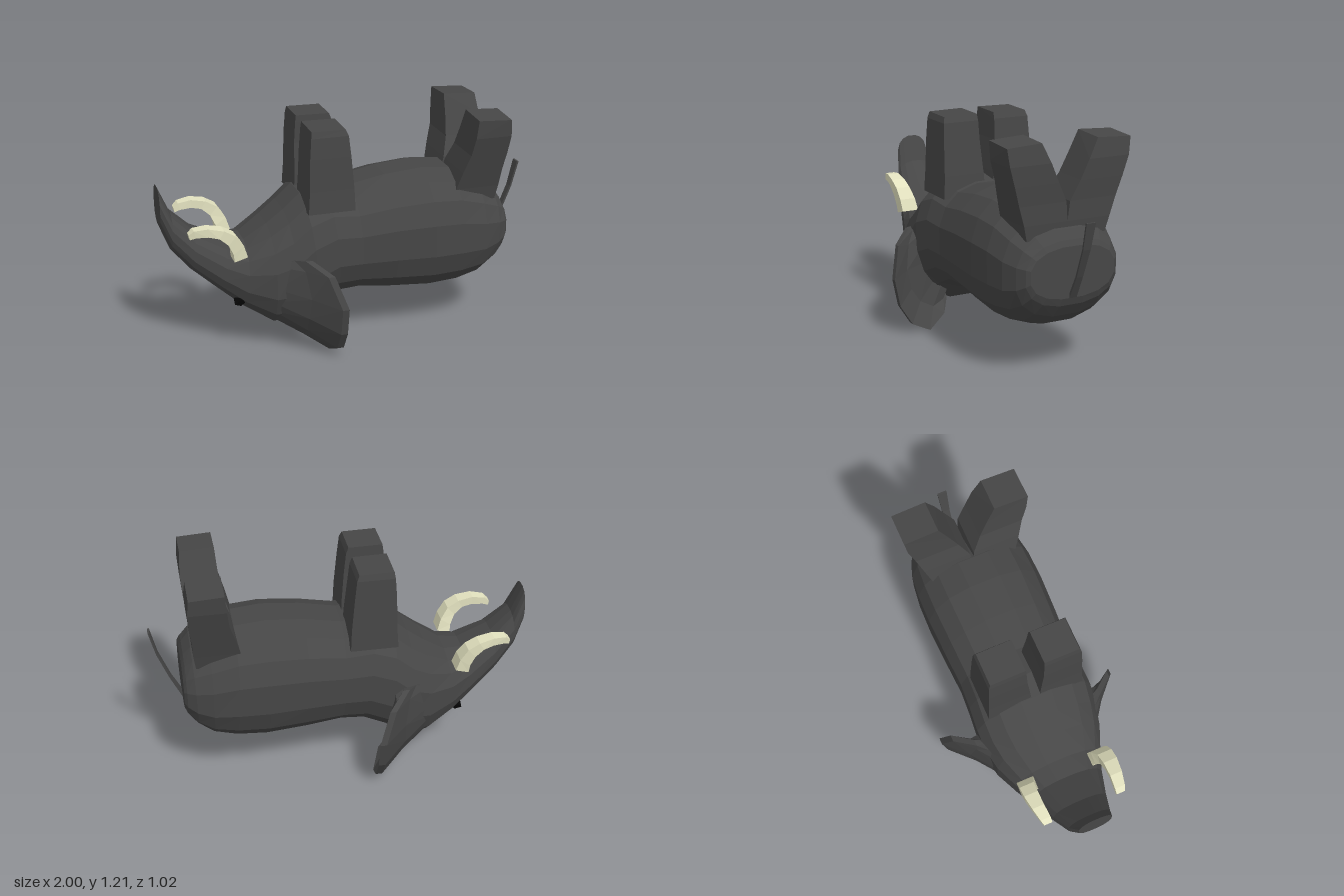
import * as THREE from 'three';

const hide = new THREE.MeshStandardMaterial({ color: 0x464646, flatShading: true });
const ivory = new THREE.MeshStandardMaterial({ color: 0xe2e1bf, flatShading: true });
const black = new THREE.MeshStandardMaterial({ color: 0x080808, flatShading: true });

// Closed skin over rings of [x, y, z] points, faces turned outward by signed volume
function loft(name, rings, material) {
  const n = rings[0].length, m = rings.length;
  const pts = rings.flat(), index = [];
  for (let i = 0; i < m - 1; i++) {
    for (let j = 0; j < n; j++) {
      const a = i * n + j, b = i * n + (j + 1) % n;
      index.push(a, b, a + n, b, b + n, a + n);
    }
  }
  for (const [k, flip] of [[0, true], [m - 1, false]]) {
    const c = [0, 1, 2].map(d => rings[k].reduce((s, p) => s + p[d], 0) / n);
    const ci = pts.push(c) - 1;
    for (let j = 0; j < n; j++) {
      const a = k * n + j, b = k * n + (j + 1) % n;
      index.push(...(flip ? [b, a, ci] : [a, b, ci]));
    }
  }
  const v = pts.map(p => new THREE.Vector3(...p));
  let volume = 0;
  for (let i = 0; i < index.length; i += 3) {
    volume += v[index[i]].dot(v[index[i + 1]].clone().cross(v[index[i + 2]]));
  }
  if (volume < 0) index.reverse();
  const geometry = new THREE.BufferGeometry().setFromPoints(v);
  geometry.setIndex(index);
  geometry.computeVertexNormals();
  const mesh = new THREE.Mesh(geometry, material);
  mesh.name = name;
  return mesh;
}

// Rounded ring between a top and a bottom point, with half width w
function bodyRing([tx, ty, bx, by, w], sides = 16, power = 2.4) {
  return Array.from({ length: sides }, (_, i) => {
    const a = ((i + 0.5) / sides) * Math.PI * 2;
    const soft = t => Math.sign(t) * Math.abs(t) ** (2 / power);
    const k = soft(Math.cos(a)) / soft(Math.cos(Math.PI / sides));
    return [
      (tx + bx) / 2 + (k * (tx - bx)) / 2,
      (ty + by) / 2 + (k * (ty - by)) / 2,
      (w * soft(Math.sin(a))) / soft(Math.cos(Math.PI / sides)),
    ];
  });
}

// Leg section: y, x range, z range, with a slightly lower outer edge
const legRing = (s, [y, x0, x1, z0, z1, drop = 0]) => [
  [x0, y, s * z0], [x1, y - drop, s * z0],
  [x1, y - 2 * drop, s * z1], [x0, y - drop, s * z1],
];

const mix = (a, b, t) => a.map((v, i) => v + (b[i] - v) * t);

export function createModel() {
  const model = new THREE.Group();
  model.name = 'upturnedElephant';

  // Trunk, head and body: top x, y, bottom x, y, half width
  model.add(loft('body', [
    [-1, 0.91, -1, 0.7, 0.09],
    [-0.94, 0.77, -0.95, 0.57, 0.115],
    [-0.83, 0.665, -0.85, 0.45, 0.15],
    [-0.67, 0.585, -0.72, 0.335, 0.2],
    [-0.57, 0.59, -0.6, 0.23, 0.245],
    [-0.45, 0.67, -0.45, 0.125, 0.3],
    [-0.36, 0.74, -0.33, 0.11, 0.322],
    [-0.27, 0.82, -0.22, 0.2, 0.328],
    [-0.15, 0.855, -0.1, 0.255, 0.32],
    [0, 0.835, 0.02, 0.262, 0.312],
    [0.2, 0.873, 0.2, 0.238, 0.322],
    [0.4, 0.89, 0.42, 0.22, 0.33],
    [0.56, 0.875, 0.58, 0.232, 0.327],
    [0.7, 0.82, 0.7, 0.265, 0.312],
    [0.79, 0.765, 0.78, 0.325, 0.283],
    [0.83, 0.72, 0.83, 0.39, 0.255],
    [0.845, 0.69, 0.845, 0.43, 0.235],
  ].map(r => bodyRing(r)), hide));

  // Ear ribs: root on the front, rim, root on the back
  const ribs = [
    [[-0.42, 0.53, 0.28], [-0.28, 0.55, 0.36], [-0.25, 0.53, 0.29]],
    [[-0.43, 0.5, 0.28], [-0.19, 0.49, 0.46], [-0.24, 0.46, 0.29]],
    [[-0.45, 0.38, 0.28], [-0.13, 0.32, 0.51], [-0.24, 0.36, 0.29]],
    [[-0.47, 0.3, 0.26], [-0.13, 0.17, 0.48], [-0.24, 0.29, 0.27]],
    [[-0.46, 0.24, 0.24], [-0.13, 0.06, 0.41], [-0.25, 0.24, 0.23]],
    [[-0.45, 0.18, 0.2], [-0.14, 0.005, 0.3], [-0.25, 0.21, 0.18]],
    [[-0.42, 0.15, 0.14], [-0.19, 0.07, 0.19], [-0.27, 0.19, 0.13]],
    [[-0.4, 0.14, 0.1], [-0.28, 0.13, 0.13], [-0.32, 0.16, 0.1]],
  ];

  // Front legs are short posts, back legs splay outward
  const frontLeg = [
    [0.76, -0.27, -0.02, 0.02, 0.265],
    [0.88, -0.262, -0.025, 0.03, 0.26],
    [1.05, -0.258, -0.04, 0.045, 0.255],
    [1.16, -0.25, -0.052, 0.048, 0.25],
    [1.197, -0.245, -0.065, 0.05, 0.24, 0.003],
  ];
  const backLeg = [
    [0.72, 0.54, 0.775, 0.0, 0.22],
    [0.8, 0.545, 0.785, 0.0, 0.24],
    [0.9, 0.57, 0.79, 0.01, 0.27],
    [1.0, 0.6, 0.802, 0.06, 0.3],
    [1.1, 0.612, 0.808, 0.105, 0.33],
    [1.21, 0.62, 0.8, 0.155, 0.342, 0.01],
  ];

  // Tusk sections: outer x, y, inner x, y, near z, far z
  const tusk = [
    [-0.59, 0.565, -0.66, 0.545, 0.155, 0.25],
    [-0.61, 0.63, -0.665, 0.59, 0.165, 0.255],
    [-0.65, 0.69, -0.69, 0.645, 0.18, 0.26],
    [-0.71, 0.725, -0.735, 0.685, 0.185, 0.26],
    [-0.79, 0.742, -0.79, 0.698, 0.185, 0.25],
    [-0.86, 0.733, -0.85, 0.695, 0.18, 0.235],
    [-0.885, 0.71, -0.88, 0.685, 0.18, 0.225],
  ];

  for (const [side, s] of [['left', 1], ['right', -1]]) {
    model.add(loft(side + 'Ear', ribs.map(([front, rim, back]) => {
      const edge = [rim[0] - 0.035, rim[1], rim[2]];
      const bulge = mix(front, edge, 0.55), hollow = mix(rim, back, 0.5);
      bulge[2] -= 0.015;
      hollow[0] -= 0.03;
      return [front, bulge, edge, rim, hollow, back].map(([x, y, z]) => [x, y, s * z]);
    }), hide));
    model.add(loft(side + 'FrontLeg', frontLeg.map(r => legRing(s, r)), hide));
    model.add(loft(side + 'BackLeg', backLeg.map(r => legRing(s, r)), hide));
    model.add(loft(side + 'Tusk', tusk.map(([ox, oy, ix, iy, z0, z1]) => [
      [ox, oy, s * z0], [ox, oy, s * z1], [ix, iy, s * z1], [ix, iy, s * z0],
    ]), ivory));

    const eye = new THREE.Mesh(new THREE.BoxGeometry(0.04, 0.05, 0.04), black);
    eye.name = side + 'Eye';
    eye.position.set(-0.622, 0.3, s * 0.178);
    eye.rotation.set(s * 0.6, 0, -0.5);
    model.add(eye);
  }

  // Thin flat tail: x, y, half width, half thickness
  model.add(loft('tail', [
    [0.84, 0.43, 0.02, 0.008],
    [0.9, 0.55, 0.018, 0.006],
    [0.96, 0.7, 0.021, 0.005],
    [0.995, 0.84, 0.026, 0.005],
  ].map(([x, y, w, t]) => [
    [x - t, y, -w], [x + t, y, -w], [x + t, y, w], [x - t, y, w],
  ]), hide));

  return model;
}
